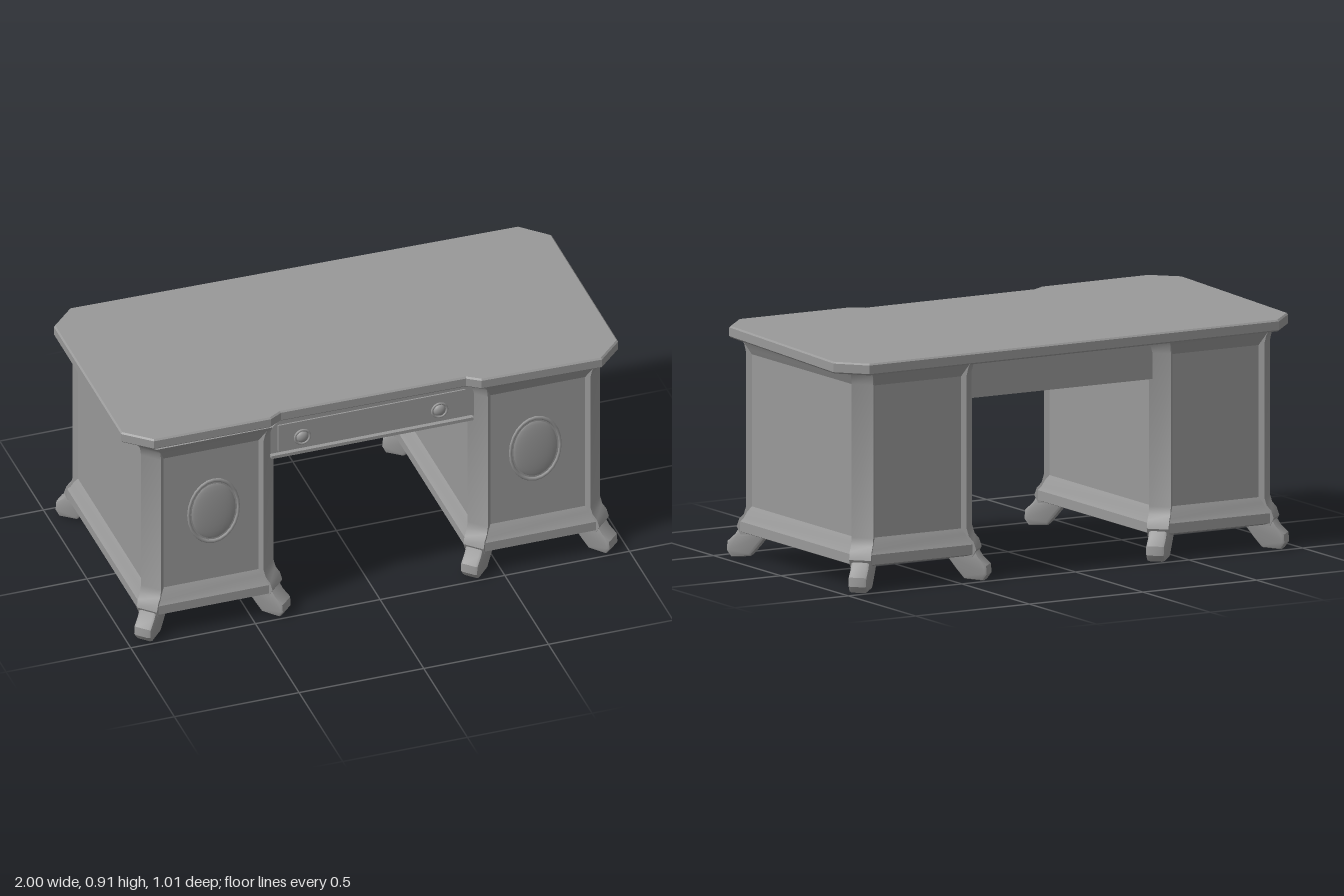
import * as THREE from 'three';
import { toCreasedNormals } from 'three/addons/utils/BufferGeometryUtils.js';

const grey = new THREE.MeshStandardMaterial({ color: 0x999999 });
grey.name = 'grey';

function part(name, geometry, parent, x = 0, y = 0, z = 0) {
  const mesh = new THREE.Mesh(geometry, grey);
  mesh.name = name;
  mesh.position.set(x, y, z);
  parent.add(mesh);
  return mesh;
}

function outline(points) {
  return new THREE.Shape(points.map(([x, y]) => new THREE.Vector2(x, y)));
}

// Block between two opposite corners
function block(name, parent, a, b) {
  const g = new THREE.BoxGeometry(b[0] - a[0], b[1] - a[1], b[2] - a[2]);
  return part(name, g, parent, (a[0] + b[0]) / 2, (a[1] + b[1]) / 2, (a[2] + b[2]) / 2);
}

// Closed body with clipped corners, swept through levels of [height, outward offset]
function clippedBody(halfX, halfZ, clip, levels) {
  const pos = [], index = [];
  for (const [y, o] of levels) {
    const x = halfX + o, z = halfZ + o, u = x - clip, v = z - clip;
    for (const [px, pz] of [[-u, z], [u, z], [x, v], [x, -v], [u, -z], [-u, -z], [-x, -v], [-x, v]]) {
      pos.push(px, y, pz);
    }
  }
  for (let k = 0; k < levels.length - 1; k++) {
    for (let i = 0; i < 8; i++) {
      const a = k * 8 + i, b = k * 8 + (i + 1) % 8;
      index.push(a, b, b + 8, a, b + 8, a + 8);
    }
  }
  const top = (levels.length - 1) * 8;
  for (let i = 1; i < 7; i++) {
    index.push(0, i + 1, i, top, top + i, top + i + 1);
  }
  const g = new THREE.BufferGeometry();
  g.setAttribute('position', new THREE.Float32BufferAttribute(pos, 3));
  g.setIndex(index);
  return toCreasedNormals(g, 0.45);
}

// Side profile of [reach, height] extruded to a width, reaching towards +z
function profileBlock(points, width, bevel) {
  const g = new THREE.ExtrudeGeometry(outline(points), {
    depth: width - 2 * bevel, bevelEnabled: bevel > 0, bevelSize: bevel,
    bevelThickness: bevel, bevelOffset: -bevel, bevelSegments: 2,
  });
  g.translate(0, 0, bevel - width / 2);
  g.rotateY(-Math.PI / 2);
  return toCreasedNormals(g, 0.6);
}

export function createModel() {
  const desk = new THREE.Group();
  desk.name = 'desk';

  // Table top with clipped corners and a shallow front recess, tilted very slightly
  const edge = [[-0.99, -0.41], [-0.89, -0.51], [0.9, -0.49], [1, -0.39], [0.99, 0.4], [0.89, 0.5],
    [0.41, 0.49], [0.36, 0.455], [-0.38, 0.45], [-0.43, 0.48], [-0.9, 0.48], [-1, 0.39]];
  const topGeometry = new THREE.ExtrudeGeometry(outline(edge.map(([x, z]) => [x, -z])), {
    depth: 0.033, bevelEnabled: true, bevelSize: 0.006, bevelThickness: 0.006,
    bevelOffset: -0.006, bevelSegments: 1,
  });
  topGeometry.rotateX(-Math.PI / 2);
  topGeometry.translate(0, 0.856, 0);
  const p = topGeometry.attributes.position;
  for (let i = 0; i < p.count; i++) {
    p.setY(i, p.getY(i) + 0.02 * p.getZ(i) - 0.005 * p.getX(i));
  }
  topGeometry.computeVertexNormals();
  part('tableTop', topGeometry, desk);

  // Shared pedestal geometries
  const bodyGeometry = clippedBody(0.26, 0.445, 0.06, [
    [0.095, 0.005], [0.102, 0.022], [0.14, 0.022], [0.155, 0.012], [0.18, 0.002], [0.2, -0.01],
    [0.785, -0.01], [0.805, 0], [0.83, 0.012], [0.86, 0.032]]);
  const postGeometry = profileBlock([
    [-0.03, 0.09], [0.03, 0.09], [0.045, 0.12], [0.035, 0.15], [0.017, 0.17], [0.008, 0.2],
    [0.008, 0.79], [0.016, 0.825], [0.03, 0.845], [0.03, 0.86], [-0.03, 0.86]], 0.085, 0);
  const footGeometry = profileBlock([
    [-0.12, 0.11], [-0.07, 0.085], [-0.035, 0.04], [-0.005, 0.005], [0.07, 0], [0.088, 0.025],
    [0.085, 0.06], [0.055, 0.088], [0.035, 0.12]], 0.075, 0.012);
  const ringGeometry = new THREE.TorusGeometry(1, 0.06, 8, 24);
  const domeGeometry = new THREE.SphereGeometry(1, 24, 12);

  for (const side of [-1, 1]) {
    const pedestal = new THREE.Group();
    pedestal.name = side > 0 ? 'leftPedestal' : 'rightPedestal';
    pedestal.position.x = side * 0.655;
    desk.add(pedestal);
    part('cabinetBody', bodyGeometry, pedestal);

    // Corner posts with paw feet
    for (const sx of [-1, 1]) {
      for (const sz of [-1, 1]) {
        const corner = new THREE.Group();
        corner.name = 'corner';
        corner.position.set(sx * 0.23, 0, sz * 0.415);
        corner.rotation.y = Math.atan2(sx, sz);
        pedestal.add(corner);
        part('cornerPost', postGeometry, corner);
        part('pawFoot', footGeometry, corner);
      }
    }

    // Oval medallion on the door
    part('medallionRing', ringGeometry, pedestal, -side * 0.01, 0.505, 0.435).scale.set(0.1, 0.138, 0.1);
    part('medallionDome', domeGeometry, pedestal, -side * 0.01, 0.505, 0.433).scale.set(0.09, 0.125, 0.012);
  }

  // Centre drawer section across the knee space
  block('drawerCase', desk, [-0.42, 0.69, -0.4], [0.42, 0.855, 0.41]);
  block('drawerFront', desk, [-0.38, 0.705, 0.4], [0.37, 0.825, 0.424]);
  block('drawerLip', desk, [-0.41, 0.682, 0.38], [0.4, 0.695, 0.428]);
  block('drawerTopRail', desk, [-0.41, 0.832, 0.38], [0.4, 0.855, 0.428]);

  // Round drawer pulls
  const pullRing = new THREE.TorusGeometry(0.03, 0.005, 8, 24);
  for (const x of [-0.285, 0.265]) {
    part('pullRing', pullRing, desk, x, 0.755, 0.425);
    part('pullKnob', domeGeometry, desk, x, 0.755, 0.424).scale.set(0.024, 0.024, 0.014);
  }

  return desk;
}
